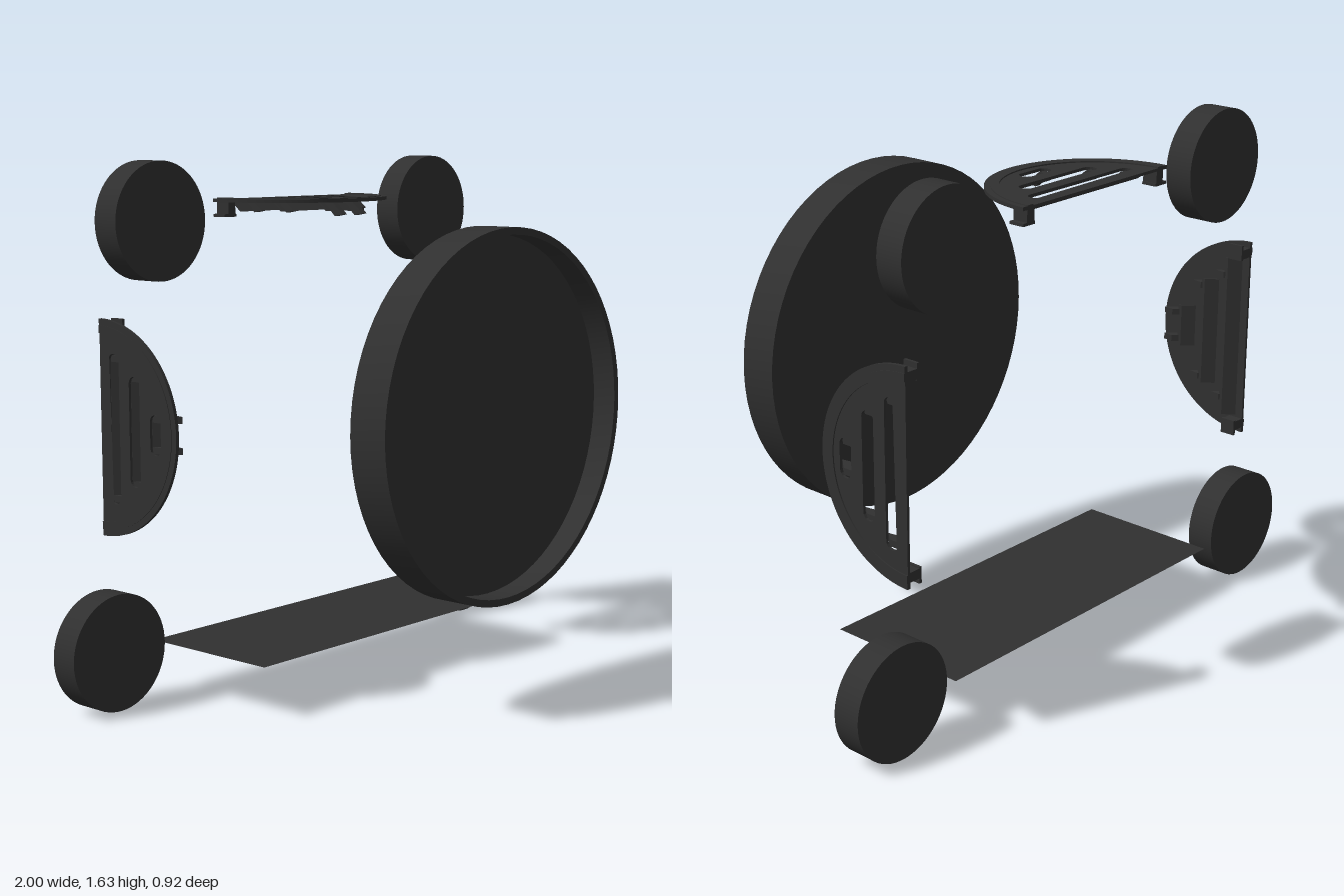
import * as THREE from 'three';
import { toCreasedNormals } from 'three/addons/utils/BufferGeometryUtils.js';

const material = new THREE.MeshStandardMaterial({ color: 0x303030 });
const sheetMaterial = new THREE.MeshStandardMaterial({ color: 0x303030, side: THREE.DoubleSide });
const BACK = -0.459;

function part(name, geometry, parent, mat = material) {
  const mesh = new THREE.Mesh(geometry, mat);
  mesh.name = name;
  parent.add(mesh);
  return mesh;
}

// Horizontal sheet drawn in x and z, with its top at the given height
function sheet(shape, top, thickness) {
  const g = new THREE.ExtrudeGeometry(shape, { depth: thickness, bevelEnabled: false, curveSegments: 40 });
  g.rotateX(Math.PI / 2);
  g.translate(0, top, 0);
  return toCreasedNormals(g, 0.5);
}

// Bar along x whose cross-section is given as [z, y] points
function bar(section, x, length) {
  const shape = new THREE.Shape(section.map(([z, y]) => new THREE.Vector2(z, y)));
  const g = new THREE.ExtrudeGeometry(shape, { depth: length, bevelEnabled: false });
  g.rotateY(-Math.PI / 2);
  g.translate(x + length / 2, 0, 0);
  return g;
}

function slotPath(half, z, r) {
  const p = new THREE.Path();
  p.absarc(half - r, z, r, -Math.PI / 2, Math.PI / 2, false);
  p.absarc(-half + r, z, r, Math.PI / 2, Math.PI * 1.5, false);
  p.closePath();
  return p;
}

function halfRing(outer, inner) {
  const s = new THREE.Shape();
  s.absarc(0, BACK, outer, 0, Math.PI, false);
  s.absarc(0, BACK, inner, Math.PI, 0, true);
  s.closePath();
  return s;
}

// Half-round vent, outer face towards +y, straight edge at the back
function createVent(name) {
  const vent = new THREE.Group();
  vent.name = name;
  const slots = [
    { z: -0.4, half: 0.225, blade: 0.27, cheek: 0.21, depth: 0.046 },
    { z: -0.312, half: 0.164, blade: 0.18, cheek: 0.158, depth: 0.046 },
    { z: -0.223, half: 0.06, blade: 0.07, cheek: 0.046, depth: 0.058 },
  ];

  // Slotted panel
  const panel = new THREE.Shape();
  panel.absarc(0, BACK, 0.326, 0, Math.PI, false);
  panel.closePath();
  slots.forEach(s => panel.holes.push(slotPath(s.half, s.z, 0.0225)));
  part('ventPanel', sheet(panel, -0.004, 0.009), vent);
  part('ventRim', sheet(halfRing(0.326, 0.307), -0.002, 0.003), vent);
  part('ventRaisedRing', sheet(halfRing(0.307, 0.283), 0, 0.005), vent);

  // Slanted blades and their end cheeks
  for (const { z, blade, cheek, depth } of slots) {
    part('ventBlade', bar([
      [z - 0.034, -0.012], [z + 0.004, -0.042], [z + 0.016, -0.042], [z - 0.022, -0.012],
    ], 0, blade * 2), vent);
    for (const side of [-1, 1]) {
      const tip = depth * 1.1;
      part('ventCheek', bar([
        [z - 0.02, -0.012], [z + tip - 0.034, -depth], [z + tip, -depth + 0.006], [z + 0.016, -0.012],
      ], side * cheek, 0.02), vent);
    }
  }

  // Forked feet at both ends of the straight edge
  for (const side of [-1, 1]) {
    const neck = part('ventFootNeck', new THREE.BoxGeometry(0.03, 0.042, 0.05), vent);
    neck.position.set(side * 0.293, -0.032, BACK + 0.025);
    const lip = part('ventFootLip', new THREE.BoxGeometry(0.05, 0.009, 0.05), vent);
    lip.position.set(side * 0.299, -0.054, BACK + 0.025);
  }
  return vent;
}

export function createModel() {
  const model = new THREE.Group();
  model.name = 'model';

  // Large round dish with a shallow recess facing the front
  const profile = [[0, 0.33], [0.567, 0.33], [0.567, 0.459], [0.545, 0.459], [0.545, 0.38], [0, 0.38]]
    .map(([r, z]) => new THREE.Vector2(r, z));
  const dishGeometry = new THREE.LatheGeometry(profile, 72);
  dishGeometry.rotateX(Math.PI / 2);
  const dish = part('frontDish', toCreasedNormals(dishGeometry, 0.6), model);
  dish.position.y = 0.875;

  // Four small discs at the corners
  const discGeometry = new THREE.CylinderGeometry(0.179, 0.179, 0.091, 64);
  discGeometry.rotateX(Math.PI / 2);
  for (const side of [-1, 1]) {
    for (const [row, x, y] of [['upper', 0.626, 1.456], ['lower', 0.821, 0.179]]) {
      const disc = part(row + (side > 0 ? 'Left' : 'Right') + 'Disc', discGeometry, model);
      disc.position.set(side * x, y, -0.4135);
    }
  }

  // Top vent and a pair of side vents, blades facing inwards
  const topVent = createVent('topVent');
  topVent.position.y = 1.515;
  model.add(topVent);
  for (const side of [-1, 1]) {
    const vent = createVent(side > 0 ? 'leftVent' : 'rightVent');
    vent.rotation.z = -side * Math.PI / 2;
    vent.position.set(side * 0.8, 0.848, 0);
    model.add(vent);
  }

  // Thin flat sheet near the bottom
  const sheetGeometry = new THREE.PlaneGeometry(1.21, 0.48);
  sheetGeometry.rotateX(-Math.PI / 2);
  const floor = part('floorSheet', sheetGeometry, model, sheetMaterial);
  floor.position.set(0, 0.16, -0.219);

  return model;
}
